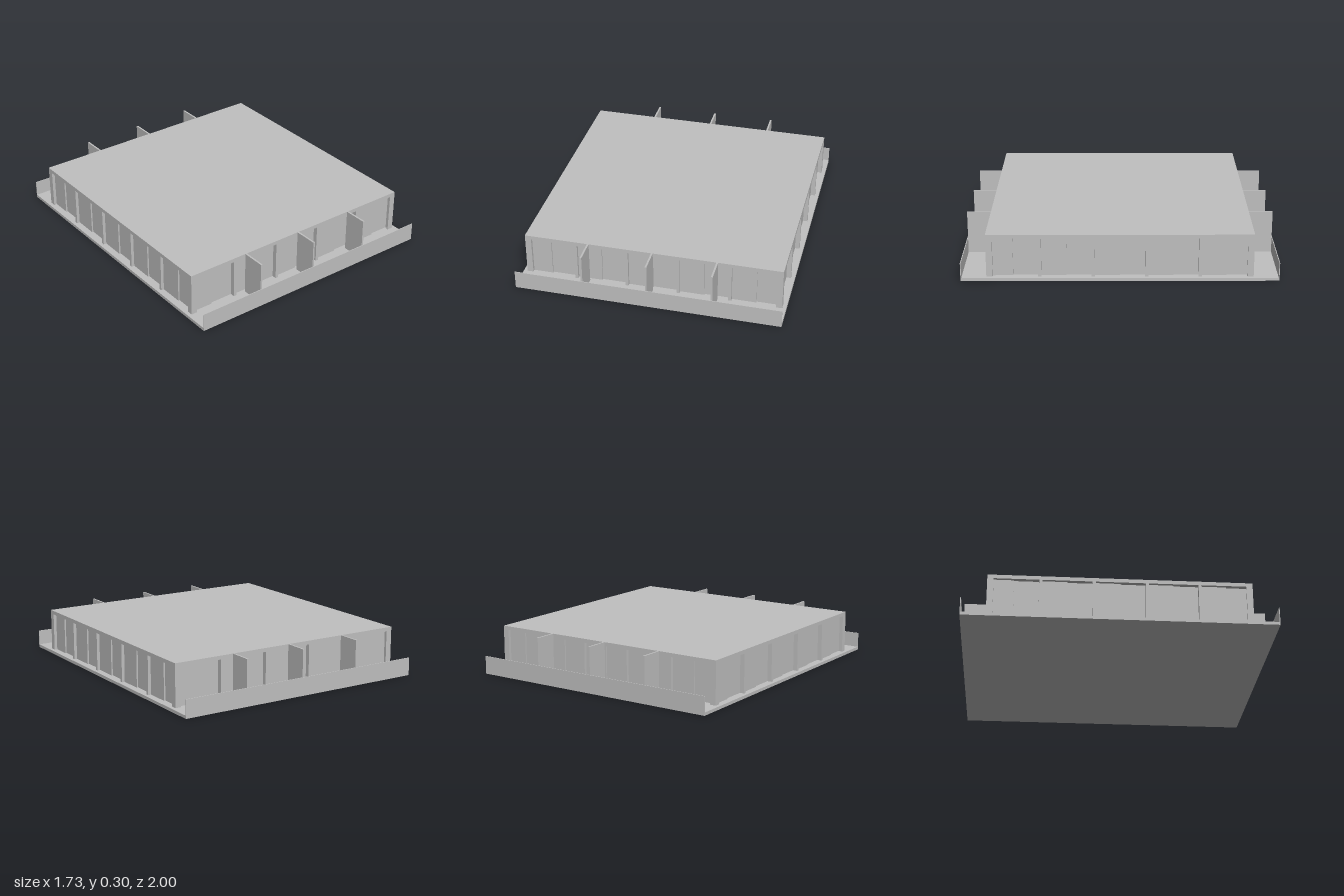
import * as THREE from 'three';

export function createModel() {
  const model = new THREE.Group();
  model.name = 'pavilion';
  const concrete = new THREE.MeshStandardMaterial({ color: 0xc0c0c0 });
  concrete.name = 'pale grey';

  // Box given by its lower and upper corners
  function block(name, parent, [x0, y0, z0], [x1, y1, z1]) {
    const geometry = new THREE.BoxGeometry(x1 - x0, y1 - y0, z1 - z0);
    geometry.translate((x0 + x1) / 2, (y0 + y1) / 2, (z0 + z1) / 2);
    const mesh = new THREE.Mesh(geometry, concrete);
    mesh.name = name;
    parent.add(mesh);
  }

  const half = 0.84, floor = 0.02, lintel = 0.275, top = 0.3;

  // Floor and roof slabs
  block('floorSlab', model, [-0.865, 0, -1], [0.865, floor, 1]);
  block('roofSlab', model, [-half, lintel, -half], [half, top, half]);

  // Four glazed walls, each with five bays of two sliding panels
  const post = 0.02, bays = 5;
  const pitch = (2 * half) / bays;
  for (let side = 0; side < 4; side++) {
    const wall = new THREE.Group();
    wall.name = ['frontWall', 'leftWall', 'backWall', 'rightWall'][side];
    wall.rotation.y = (side * Math.PI) / 2;
    for (let i = 0; i <= bays; i++) {
      const x = -half + i * pitch;
      block('post', wall,
        [Math.max(x - post / 2, -half), floor, half - 0.04],
        [Math.min(x + post / 2, half), lintel, half]);
      if (i === bays) continue;
      const mid = x + pitch / 2;
      block('outerPanel', wall, [x + post / 2, floor, half - 0.03], [mid, lintel, half - 0.02]);
      block('innerPanel', wall, [mid - 0.01, floor, half - 0.04], [x + pitch - post / 2, lintel, half - 0.03]);
    }
    model.add(wall);
  }

  // Balconies at both ends: thin parapet and three partition fins
  for (const turn of [0, Math.PI]) {
    const balcony = new THREE.Group();
    balcony.name = turn ? 'backBalcony' : 'frontBalcony';
    balcony.rotation.y = turn;
    block('parapet', balcony, [-0.865, floor, 0.995], [0.865, 0.12, 1]);
    for (const x of [-0.42, 0, 0.42]) {
      block('partition', balcony, [x - 0.006, floor, half], [x + 0.006, top, 0.995]);
    }
    model.add(balcony);
  }
  return model;
}
